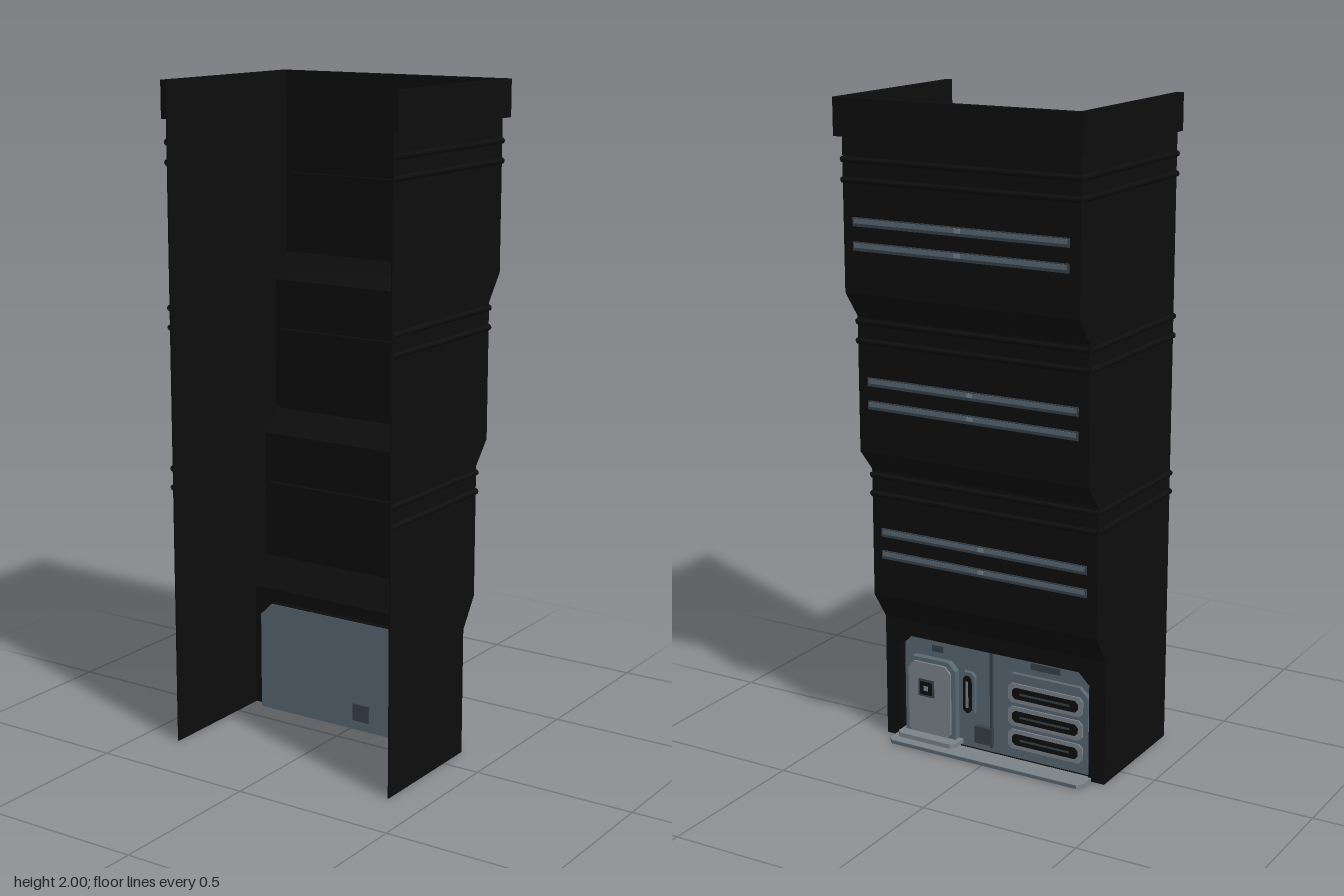
import * as THREE from 'three';

const mat = (name, color, side = THREE.FrontSide) => {
  const m = new THREE.MeshStandardMaterial({ color, side });
  m.name = name;
  return m;
};
const black = mat('black shell', 0x0d0d0d, THREE.DoubleSide);
const slate = mat('slate panel', 0x586874);
const grey = mat('light grey trim', 0x7b838a);
const dark = mat('dark slate', 0x36414a);

// Outer half-width, front edge and sheet thickness of the shell
const HW = 0.383, FRONT = 0.303, T = 0.004;
// Stepped rear outline as [z, y]
const rear = [[-0.105, 0.35], [-0.105, 0.39], [-0.165, 0.48], [-0.165, 0.88],
  [-0.225, 0.95], [-0.225, 1.36], [-0.285, 1.44], [-0.285, 2]];

const poly = (pts) => new THREE.Shape(pts.map(([x, y]) => new THREE.Vector2(x, y)));

// Rectangle with cut corners: top by ct, bottom by cb
const cutRect = (x0, x1, y0, y1, ct, cb = 0) => {
  const p = [[x0 + cb, y0], [x1 - cb, y0]];
  if (cb) p.push([x1, y0 + cb]);
  p.push([x1, y1 - ct], [x1 - ct, y1], [x0 + ct, y1], [x0, y1 - ct]);
  if (cb) p.push([x0, y0 + cb]);
  return p;
};

const extrude = (shape, depth) => new THREE.ExtrudeGeometry(shape, { depth, bevelEnabled: false });

export function createModel() {
  const model = new THREE.Group();
  model.name = 'serverTower';

  const add = (name, geometry, material, x = 0, y = 0, z = 0, parent = model) => {
    const mesh = new THREE.Mesh(geometry, material);
    mesh.name = name;
    mesh.position.set(x, y, z);
    parent.add(mesh);
    return mesh;
  };
  const box = (name, w, h, d, material, x, y, z, parent) =>
    add(name, new THREE.BoxGeometry(w, h, d), material, x, y, z, parent);
  // Box given by its limits
  const span = (name, x0, x1, y0, y1, z0, z1, material, parent) =>
    box(name, x1 - x0, y1 - y0, z1 - z0, material, (x0 + x1) / 2, (y0 + y1) / 2, (z0 + z1) / 2, parent);

  // Side walls follow the stepped rear outline
  const sideShape = poly([[FRONT, 0], [FRONT, 2], ...[...rear].reverse(), [-0.105, 0]]);
  const sideGeo = extrude(sideShape, T).rotateY(-Math.PI / 2);
  add('leftWall', sideGeo, black, HW);
  add('rightWall', sideGeo, black, -HW + T);

  // Stepped rear wall as one folded sheet
  const sheet = poly([...rear, ...[...rear].reverse().map(([z, y]) => [z + T, y])]);
  add('rearWall', extrude(sheet, 2 * HW).rotateY(-Math.PI / 2), black, HW);

  // Lower rear wall around the connection niche
  const opening = cutRect(-0.33, 0.33, 0.005, 0.34, 0.035);
  const lower = poly([[-HW, 0], [HW, 0], [HW, 0.36], [-HW, 0.36]]);
  lower.holes.push(poly(opening));
  add('lowerRearWall', extrude(lower, T), black, 0, 0, -0.105);

  // Niche: black rim closed by a slate plate
  const nicheOutline = cutRect(-0.34, 0.34, 0, 0.35, 0.04);
  const rim = poly(nicheOutline);
  rim.holes.push(poly(opening));
  add('nicheRim', extrude(rim, 0.026), black, 0, 0, -0.104);
  add('nichePlate', extrude(poly(nicheOutline), 0.004), slate, 0, 0, -0.079);

  // Collar around the top
  const collar = new THREE.Group();
  collar.name = 'topCollar';
  model.add(collar);
  for (const s of [-1, 1]) box('collarSide', 0.017, 0.11, 0.608, black, s * 0.3915, 1.945, 0, collar);
  box('collarRear', 0.8, 0.11, 0.02, black, 0, 1.945, -0.294, collar);

  // Pairs of half-round ribs running around the shell
  const R = 0.009;
  const halfRound = (len) => new THREE.CylinderGeometry(R, R, len, 10, 1, true, 0, Math.PI).rotateX(Math.PI / 2);
  for (const [y0, z] of [[0.832, -0.165], [1.315, -0.225], [1.795, -0.285]]) {
    for (const y of [y0 - 0.029, y0 + 0.029]) {
      const len = FRONT - z;
      add('leftRib', halfRound(len), black, HW, y, z + len / 2);
      add('rightRib', halfRound(len).rotateY(Math.PI), black, -HW, y, z + len / 2);
      add('rearRib', halfRound(2 * HW).rotateY(Math.PI / 2), black, 0, y, z);
    }
  }

  // Each tier: inner housing and two long rails on the rear
  [-0.165, -0.225, -0.285].forEach((z, i) => {
    const y = 0.65 + i * 0.482;
    box('innerHousing', 0.71, 0.15, 0.018, black, 0, y, z + 0.012);
    for (const dy of [-0.035, 0.035]) {
      box('railBase', 0.7, 0.026, 0.006, dark, 0, y + dy, z - 0.002);
      box('rail', 0.69, 0.014, 0.008, slate, 0, y + dy + 0.003, z - 0.003);
      box('railClip', 0.02, 0.012, 0.003, grey, 0, y + dy + 0.003, z - 0.007);
    }
  });

  // Raised module with a small display
  const unit = new THREE.Group();
  unit.name = 'displayModule';
  model.add(unit);
  add('moduleBase', extrude(poly(cutRect(0.135, 0.315, 0.02, 0.275, 0.025)), 0.022), slate, 0, 0, -0.101, unit);
  add('moduleFace', extrude(poly(cutRect(0.15, 0.3, 0.03, 0.262, 0.02, 0.01)), 0.007), grey, 0, 0, -0.108, unit);
  box('displayFrame', 0.056, 0.056, 0.004, dark, 0.235, 0.18, -0.109, unit);
  box('display', 0.042, 0.042, 0.004, black, 0.235, 0.18, -0.111, unit);
  box('displayMark', 0.016, 0.016, 0.003, grey, 0.235, 0.18, -0.1125, unit);

  // Narrow handle slot beside it
  add('slotFrame', extrude(poly(cutRect(0.072, 0.122, 0.11, 0.255, 0.012, 0.012)), 0.012), slate, 0, 0, -0.091);
  add('slotCore', extrude(poly(cutRect(0.082, 0.112, 0.122, 0.243, 0.01, 0.01)), 0.004), black, 0, 0, -0.094);
  box('slotBar', 0.008, 0.085, 0.004, grey, 0.097, 0.182, -0.095);

  // Divider, latch box and small tags
  span('divider', 0.012, 0.02, 0.02, 0.335, -0.088, -0.079, dark);
  span('latchBox', 0.01, 0.07, 0.03, 0.085, -0.095, -0.072, dark);
  span('leftTag', 0.19, 0.23, 0.295, 0.315, -0.083, -0.079, dark);
  span('rightTag', -0.22, -0.12, 0.305, 0.325, -0.083, -0.079, dark);

  // Vent block with three wide slots
  const vents = new THREE.Group();
  vents.name = 'ventBlock';
  model.add(vents);
  add('ventBase', extrude(poly(cutRect(-0.322, -0.03, 0.025, 0.285, 0.03, 0.015)), 0.015), slate, 0, 0, -0.094, vents);
  for (const y of [0.075, 0.15, 0.225]) {
    add('ventFrame', extrude(poly(cutRect(-0.305, -0.05, y - 0.031, y + 0.031, 0.012, 0.012)), 0.006), grey, 0, 0, -0.099, vents);
    add('ventSlot', extrude(poly(cutRect(-0.29, -0.065, y - 0.018, y + 0.018, 0.01, 0.01)), 0.004), black, 0, 0, -0.101, vents);
    box('ventBlade', 0.17, 0.006, 0.003, dark, -0.1775, y, -0.1015, vents);
  }

  // Tray projecting at the foot, with a raised step under the module
  const tray = poly([[-0.34, 0.1], [0.34, 0.1], [0.34, 0.155], [0.325, 0.172], [-0.325, 0.172], [-0.34, 0.155]]);
  add('footTray', extrude(tray, 0.012).rotateX(-Math.PI / 2), grey);
  const step = poly([[0.12, 0.08], [0.328, 0.08], [0.328, 0.125], [0.315, 0.14], [0.133, 0.14], [0.12, 0.125]]);
  add('trayStep', extrude(step, 0.014).rotateX(-Math.PI / 2), grey, 0, 0.012);
  span('trayEdge', -0.325, 0.325, 0.001, 0.011, -0.174, -0.171, slate);

  return model;
}
